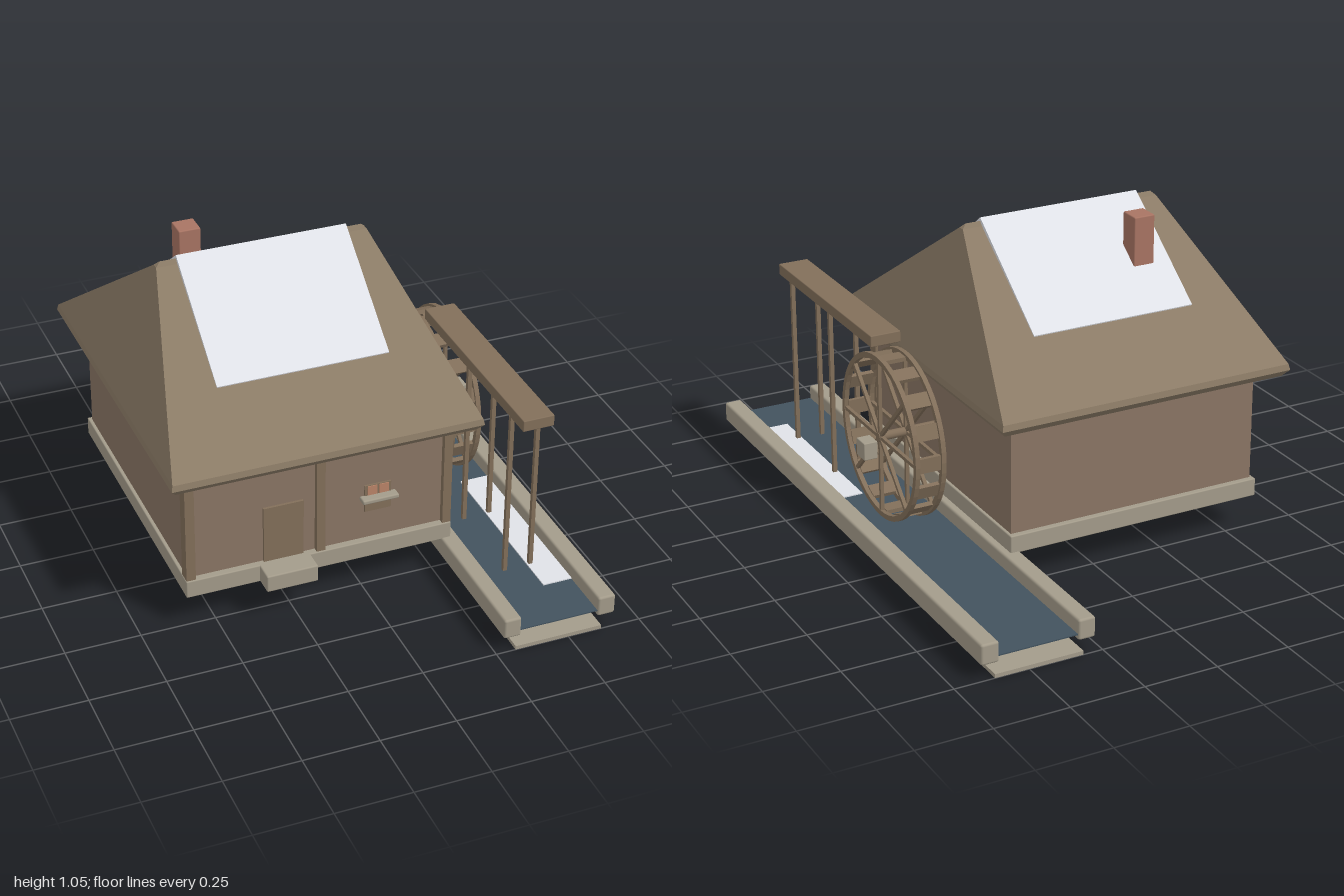
import * as THREE from 'three';
import { RoundedBoxGeometry } from 'three/addons/geometries/RoundedBoxGeometry.js';

const mat = (name, color) => {
  const m = new THREE.MeshStandardMaterial({ color });
  m.name = name;
  return m;
};

export function createModel() {
  const model = new THREE.Group();
  model.name = 'watermill';

  const thatch = mat('thatch', 0x8b7b66);
  const plaster = mat('wall brown', 0x8a7564);
  const timber = mat('timber', 0x826f5a);
  const stone = mat('stone', 0xa39b8a);
  const water = mat('water', 0x42525e);
  const brick = mat('brick', 0xa87463);
  const pane = mat('window glow', 0xba8468);
  const snow = mat('snow', 0xe4e6ec);

  const add = (name, geometry, material, parent = model) => {
    const mesh = new THREE.Mesh(geometry, material);
    mesh.name = name;
    parent.add(mesh);
    return mesh;
  };
  // Box given by its limits on each axis; bevel rounds the edges
  const box = (name, material, [x0, x1], [y0, y1], [z0, z1], bevel = 0, parent = model) => {
    const size = [x1 - x0, y1 - y0, z1 - z0];
    const g = bevel ? new RoundedBoxGeometry(...size, 2, bevel) : new THREE.BoxGeometry(...size);
    const mesh = add(name, g, material, parent);
    mesh.position.set((x0 + x1) / 2, (y0 + y1) / 2, (z0 + z1) / 2);
    return mesh;
  };

  // House body
  box('foundation', stone, [-0.6, 0.308], [0.115, 0.177], [-0.518, 0.518], 0.004);
  box('walls', plaster, [-0.588, 0.298], [0.177, 0.58], [-0.5, 0.495]);
  box('doorStep', stone, [-0.355, -0.182], [0.117, 0.177], [0.5, 0.585], 0.005);
  for (const [x0, x1] of [[-0.598, -0.567], [-0.159, -0.13], [0.278, 0.307]])
    box('frontPost', timber, [x0, x1], [0.177, 0.57], [0.47, 0.514]);
  box('door', timber, [-0.335, -0.2], [0.177, 0.378], [0.495, 0.504]);

  // Window with two panes and a sill
  box('windowFrame', timber, [0.01, 0.1], [0.28, 0.378], [0.495, 0.502]);
  box('windowPane', pane, [0.019, 0.052], [0.343, 0.376], [0.5, 0.505]);
  box('windowPane', pane, [0.058, 0.091], [0.343, 0.376], [0.5, 0.505]);
  box('windowSill', stone, [-0.007, 0.117], [0.325, 0.341], [0.495, 0.53], 0.005);

  // Hipped roof: rectangular loops [y, xMin, xMax, zHalf] from the eaves to the ridge
  const loops = [
    [0.555, -0.645, 0.358, 0.575],
    [0.58, -0.664, 0.376, 0.597],
    [0.6, -0.66, 0.372, 0.592],
    [1.02, -0.502, 0.212, 0.012],
    [1.034, -0.487, 0.197, 0.001],
  ];
  const pos = [], index = [];
  for (const [y, a, b, z] of loops) pos.push(a, y, z, b, y, z, b, y, -z, a, y, -z);
  for (let l = 0; l < loops.length - 1; l++)
    for (let i = 0; i < 4; i++) {
      const a = l * 4 + i, b = l * 4 + (i + 1) % 4;
      index.push(a, b, b + 4, a, b + 4, a + 4);
    }
  const top = (loops.length - 1) * 4;
  index.push(0, 2, 1, 0, 3, 2, top, top + 1, top + 2, top, top + 2, top + 3);
  const shell = new THREE.BufferGeometry();
  shell.setAttribute('position', new THREE.Float32BufferAttribute(pos, 3));
  shell.setIndex(index);
  const roofGeo = shell.toNonIndexed();
  roofGeo.computeVertexNormals();
  add('roof', roofGeo, thatch);

  // Snow folded over the ridge
  const fold = new THREE.Shape([
    [0, 1.046], [-0.365, 0.769], [-0.362, 0.76], [0, 1.03], [0.362, 0.76], [0.365, 0.769],
  ].map(([x, y]) => new THREE.Vector2(x, y)));
  const foldGeo = new THREE.ExtrudeGeometry(fold, { depth: 0.576, bevelEnabled: false });
  foldGeo.rotateY(Math.PI / 2).translate(-0.432, 0, 0);
  add('roofSnow', foldGeo, snow);

  box('chimney', brick, [-0.37, -0.296], [0.8, 1.041], [-0.225, -0.151], 0.004);

  // Mill race
  box('leftEdgeBank', stone, [0.275, 0.333], [0.05, 0.12], [-1, 1], 0.008);
  box('rightEdgeBank', stone, [0.6, 0.66], [0.05, 0.12], [-1, 1], 0.008);
  box('channelBed', stone, [0.316, 0.615], [0, 0.013], [-1, 1]);
  box('waterSurface', water, [0.32, 0.612], [0.068, 0.072], [-0.995, 0.995]);
  box('foam', snow, [0.5, 0.604], [0.072, 0.076], [0.18, 0.815]);

  // Flume on four legs
  box('flume', timber, [0.414, 0.52], [0.655, 0.694], [0.038, 0.785], 0.003);
  for (const z of [0.69, 0.377])
    for (const x of [0.421, 0.512])
      box('flumeLeg', timber, [x - 0.007, x + 0.007], [0.07, 0.657], [z - 0.007, z + 0.007]);

  // Water wheel, turning about x
  const wheel = new THREE.Group();
  wheel.name = 'waterWheel';
  wheel.position.set(0.465, 0.357, 0);
  model.add(wheel);
  const ring = new THREE.Shape().absarc(0, 0, 0.28, 0, Math.PI * 2);
  ring.holes.push(new THREE.Path().absarc(0, 0, 0.262, 0, Math.PI * 2, true));
  const ringGeo = new THREE.ExtrudeGeometry(ring, { depth: 0.016, bevelEnabled: false, curveSegments: 24 });
  ringGeo.translate(0, 0, -0.008).rotateY(Math.PI / 2);
  const spokeGeo = new THREE.BoxGeometry(0.012, 0.53, 0.012);
  for (const x of [-0.046, 0.046]) {
    add('wheelRim', ringGeo, timber, wheel).position.x = x;
    for (let i = 0; i < 4; i++) {
      const spoke = add('wheelSpokes', spokeGeo, timber, wheel);
      spoke.position.x = x;
      spoke.rotation.x = i * Math.PI / 4;
    }
  }
  const paddleGeo = new THREE.BoxGeometry(0.08, 0.014, 0.05).translate(0, 0.264, 0);
  for (let i = 0; i < 16; i++)
    add('wheelPaddle', paddleGeo, timber, wheel).rotation.x = i * Math.PI / 8;

  // Axle and its outer bearing block
  const axle = add('axle', new THREE.CylinderGeometry(0.015, 0.015, 0.23, 12), timber);
  axle.rotation.z = Math.PI / 2;
  axle.position.set(0.405, 0.357, 0);
  box('bearingBlock', stone, [0.535, 0.583], [0.297, 0.357], [-0.03, 0.03], 0.003);

  return model;
}
